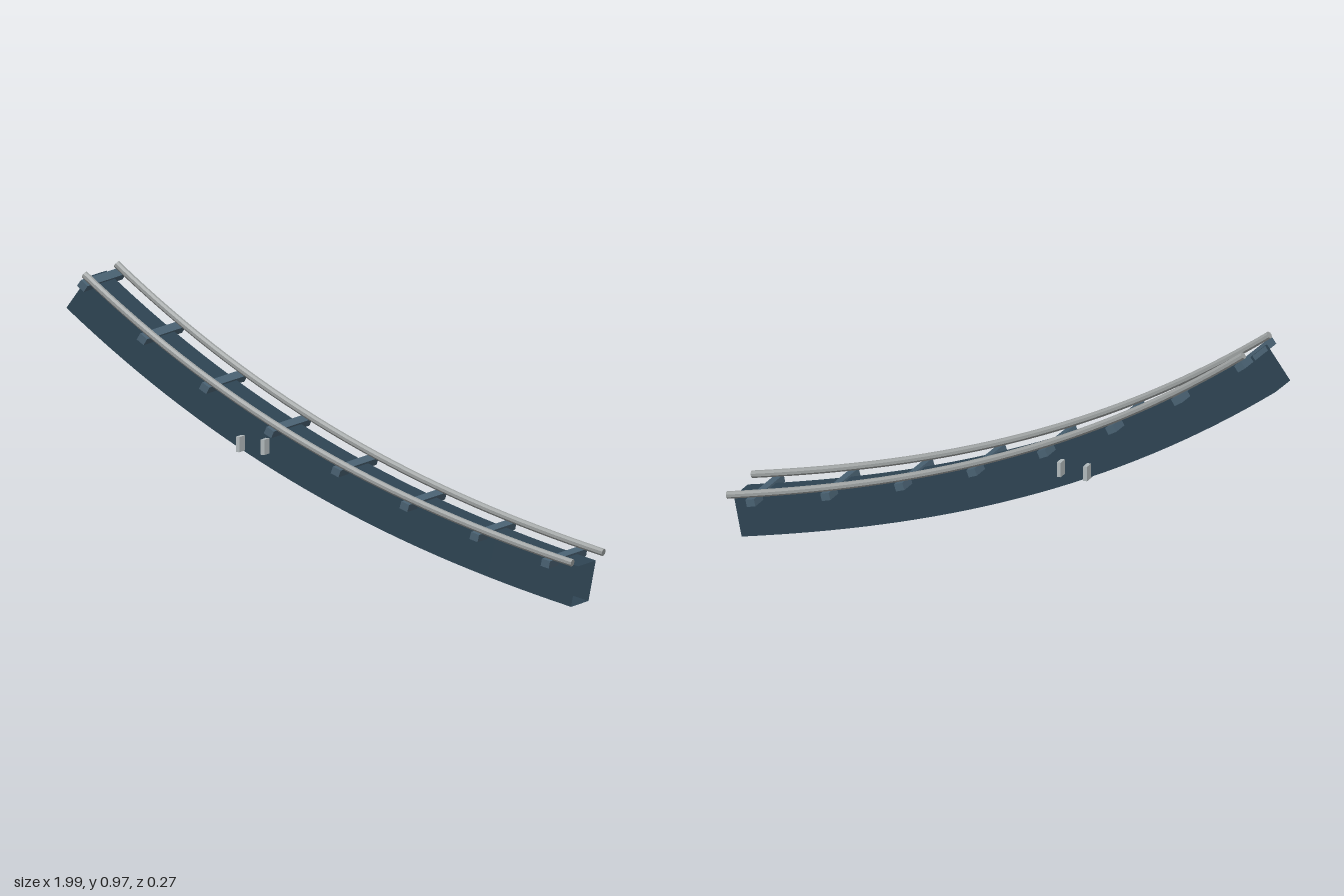
import * as THREE from 'three';

const mat = (name, color, extra = {}) => Object.assign(new THREE.MeshStandardMaterial({ color, ...extra }), { name });

// Centre line of the track, running downhill towards +x with a slight sideways bend
const path = new THREE.CubicBezierCurve3(
  new THREE.Vector3(-0.915, 0.937, -0.011),
  new THREE.Vector3(-0.278, 0.466, 0.003),
  new THREE.Vector3(0.355, 0.262, 0.0115),
  new THREE.Vector3(0.988, 0.136, 0.0115),
);

// Point and axes (along, up, side) at a fraction of the path length
function frameAt(u) {
  const along = path.getTangentAt(u);
  const side = new THREE.Vector3().crossVectors(along, new THREE.Vector3(0, 1, 0)).normalize();
  const up = new THREE.Vector3().crossVectors(side, along);
  return { origin: path.getPointAt(u), along, up, side };
}

// Sweep a ring of [up, side] offsets along the path
function sweep(ring, steps, capped) {
  const n = ring.length;
  const rows = [];
  for (let i = 0; i <= steps; i++) {
    const f = frameAt(i / steps);
    rows.push(ring.map(([h, s]) => f.origin.clone().addScaledVector(f.up, h).addScaledVector(f.side, s)));
  }
  const pts = [];
  for (let i = 0; i < steps; i++) {
    for (let j = 0; j < n; j++) {
      const k = (j + 1) % n;
      const [a, b, c, d] = [rows[i][j], rows[i][k], rows[i + 1][k], rows[i + 1][j]];
      pts.push(a, b, c, a, c, d);
    }
  }
  if (capped) {
    const first = rows[0], last = rows[steps];
    for (let j = 1; j < n - 1; j++) {
      pts.push(first[0], first[j + 1], first[j], last[0], last[j], last[j + 1]);
    }
  }
  const geo = new THREE.BufferGeometry().setFromPoints(pts);
  geo.computeVertexNormals();
  return geo;
}

export function createModel() {
  const beamBlue = mat('beam dark blue', 0x2e4453, { side: THREE.DoubleSide });
  const tieBlue = mat('crosstie blue', 0x4a6273);
  const railGrey = mat('rail grey', 0x9da1a1);
  const plateGrey = mat('plate light grey', 0xb2babc);

  const model = new THREE.Group();
  model.name = 'curvedTrack';
  const add = (name, geo, material) => {
    const mesh = new THREE.Mesh(geo, material);
    mesh.name = name;
    model.add(mesh);
    return mesh;
  };

  // Hollow box beam, open at both ends
  const w = 0.059, top = 0.006, bottom = -0.138;
  add('beam', sweep([[top, -w], [top, w], [bottom, w], [bottom, -w]], 32, false), beamBlue);

  // Pair of round rails
  for (const [name, s] of [['frontRail', 1], ['backRail', -1]]) {
    const ring = [];
    for (let j = 0; j < 8; j++) {
      const a = ((j + 0.5) / 8) * Math.PI * 2;
      ring.push([0.026 + 0.0128 * Math.cos(a), s * 0.105 + 0.0128 * Math.sin(a)]);
    }
    add(name, sweep(ring, 32, true), railGrey);
  }

  // Evenly spaced crossties set into the top of the beam
  const tieGeo = new THREE.BoxGeometry(0.032, 0.026, 0.252);
  for (let i = 0; i < 8; i++) {
    const f = frameAt(0.012 + i * 0.135);
    const tie = add('crosstie' + (i + 1), tieGeo, tieBlue);
    tie.quaternion.setFromRotationMatrix(new THREE.Matrix4().makeBasis(f.along, f.up, f.side));
    tie.position.copy(f.origin);
  }

  // Two upright plates passing through the beam
  for (const [name, x] of [['upperPlate', -0.31], ['lowerPlate', -0.214]]) {
    add(name, new THREE.BoxGeometry(0.014, 0.052, 0.188), plateGrey).position.set(x, 0.435, 0.002);
  }

  return model;
}
